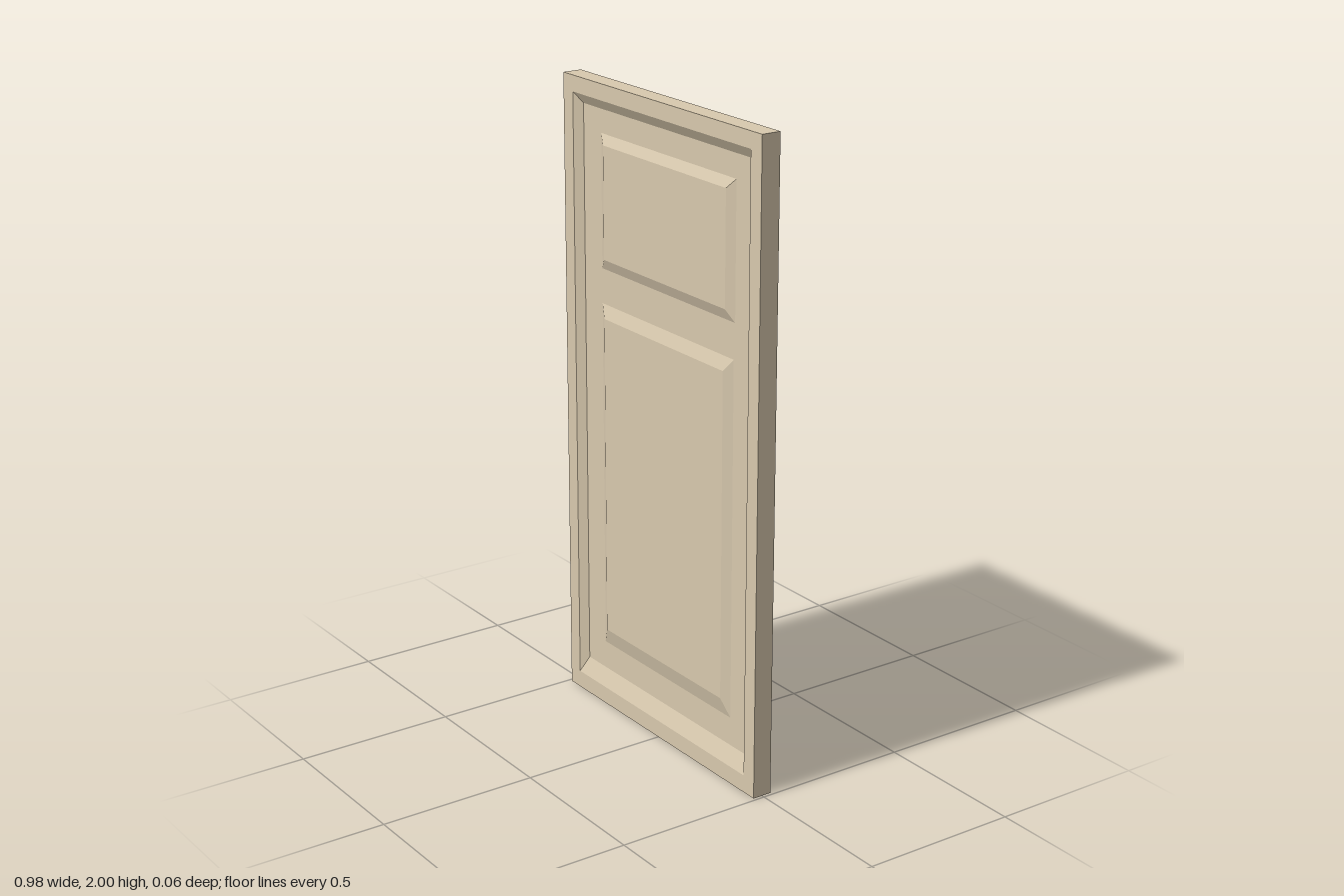
import * as THREE from 'three';

// Rectangles are [left, bottom, right, top]
const OUTER = [-0.49, 0, 0.49, 2];
const OPENING = [-0.44, 0.055, 0.44, 1.95];
const RECESS = [-0.413, 0.11, 0.421, 1.918];
const PANELS = [
  { name: 'upperPanel', foot: [-0.32, 1.43, 0.35, 1.845], top: [-0.29, 1.465, 0.32, 1.815] },
  { name: 'lowerPanel', foot: [-0.32, 0.2, 0.345, 1.32], top: [-0.29, 0.255, 0.312, 1.28] },
];
const HALF = 0.031;

const corners = ([l, b, r, t]) => [[l, b], [r, b], [r, t], [l, t]];

// Four-sided bands between successive rectangles [rect, z], optionally capped by the last one
function bands(levels, side, cap = false) {
  const pos = [];
  const quad = (a, b, c, d) => {
    const tris = side > 0 ? [a, b, c, a, c, d] : [a, c, b, a, d, c];
    tris.forEach((p) => pos.push(...p));
  };
  const loops = levels.map(([rect, z]) => corners(rect).map(([x, y]) => [x, y, z * side]));
  for (let k = 0; k + 1 < loops.length; k++) {
    for (let i = 0; i < 4; i++) {
      const j = (i + 1) % 4;
      quad(loops[k][i], loops[k][j], loops[k + 1][j], loops[k + 1][i]);
    }
  }
  if (cap) quad(...loops[loops.length - 1]);
  const geo = new THREE.BufferGeometry();
  geo.setAttribute('position', new THREE.Float32BufferAttribute(pos, 3));
  geo.computeVertexNormals();
  return geo;
}

// Recessed field with a hole under each raised panel
function fieldGeometry(z, side) {
  const path = (rect) => corners(rect).map(([x, y]) => new THREE.Vector2(x * side, y));
  const shape = new THREE.Shape(path(RECESS));
  PANELS.forEach((p) => shape.holes.push(new THREE.Path(path(p.foot))));
  const geo = new THREE.ShapeGeometry(shape);
  if (side < 0) geo.rotateY(Math.PI);
  return geo.translate(0, 0, z * side);
}

export function createModel() {
  const door = new THREE.Group();
  door.name = 'panelDoor';
  const wood = new THREE.MeshStandardMaterial({ color: 0xd8c9ae, flatShading: true });
  const add = (parent, name, geo) => {
    const mesh = new THREE.Mesh(geo, wood);
    mesh.name = name;
    parent.add(mesh);
  };

  // Both faces share one layout; the back is cut a little deeper
  for (const { name, side, depth, rise } of [
    { name: 'frontFace', side: 1, depth: 0.02, rise: 0.014 },
    { name: 'backFace', side: -1, depth: 0.028, rise: 0.024 },
  ]) {
    const face = new THREE.Group();
    face.name = name;
    const floor = HALF - depth;
    // Half of the slab edge, the flat frame and its inward bevel
    add(face, 'frame', bands([[OUTER, 0], [OUTER, HALF], [OPENING, HALF], [RECESS, floor]], side));
    add(face, 'recessedField', fieldGeometry(floor, side));
    for (const p of PANELS) {
      add(face, p.name, bands([[p.foot, floor], [p.top, floor + rise]], side, true));
    }
    door.add(face);
  }
  return door;
}
